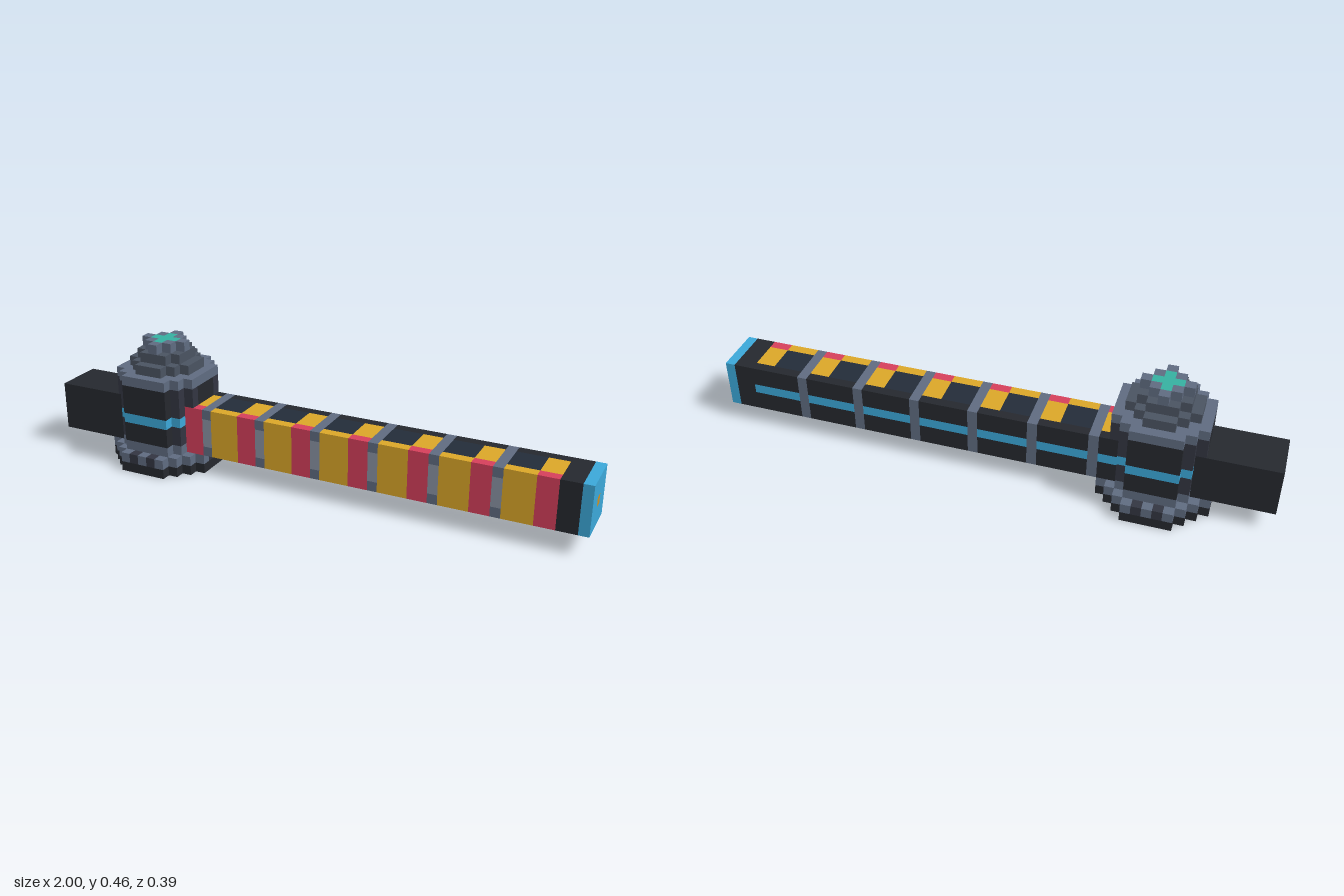
import * as THREE from 'three';
import { mergeGeometries } from 'three/addons/utils/BufferGeometryUtils.js';

const V = 1 / 28;          // one block
const POST_X = -16.5;      // post axis, in blocks
const C = {
  black: 0x25282e, plum: 0x323541, slate: 0x5f6b80, stone: 0x4a5361, pale: 0x8a93a3,
  blue: 0x3ba7d8, red: 0xd53f5b, yellow: 0xdaa628, navy: 0x232c39, teal: 0x35b0a0, orange: 0xd08f1f,
};
const mats = {};
for (const k in C) mats[k] = new THREE.MeshStandardMaterial({ color: C[k], flatShading: true });

// Box given by its corner limits in blocks
function block(x0, x1, y0, y1, z0, z1) {
  const g = new THREE.BoxGeometry((x1 - x0) * V, (y1 - y0) * V, (z1 - z0) * V);
  return g.translate((x0 + x1) / 2 * V, (y0 + y1) / 2 * V, (z0 + z1) / 2 * V);
}

// Collects boxes by colour and turns them into one mesh per colour
function part(name, build) {
  const bins = {};
  build((color, ...b) => (bins[color] ??= []).push(block(...b)));
  const group = new THREE.Group();
  group.name = name;
  for (const color in bins) {
    const mesh = new THREE.Mesh(mergeGeometries(bins[color]), mats[color]);
    mesh.name = `${name} ${color}`;
    group.add(mesh);
  }
  return group;
}

// Round layer of blocks; cells taken by the arm are left out
function disc(add, y0, y1, radius, pick) {
  const n = Math.floor(radius);
  for (let i = -n; i <= n; i++) for (let k = -n; k <= n; k++) {
    if (i * i + k * k > radius * radius) continue;
    if (y0 >= 2 && y1 <= 7 && Math.abs(i) === 4 && Math.abs(k) <= 2) continue;
    const x = POST_X + i;
    add(pick(Math.abs(i), Math.abs(k)), x - 0.5, x + 0.5, y0, y1, k - 0.5, k + 0.5);
  }
}

export function createModel() {
  const model = new THREE.Group();
  model.name = 'barrier';

  // Stepped foot of the post
  model.add(part('foot', add => {
    disc(add, 0, 1, 5.5, () => 'black');
    disc(add, 1, 2, 5.5, (i, k) => (i === 5 && k === 1) || (k === 5 && i === 1) ? 'plum' : 'slate');
    disc(add, 2, 3, 4.5, () => 'slate');
  }));

  // Post body with a light band
  const body = (i, k) => (k === 2 && i > 2) || (i === 3 && k === 3) ? 'plum' : 'black';
  model.add(part('post', add => {
    disc(add, 3, 5, 4.5, body);
    disc(add, 5, 6, 4.5, () => 'blue');
    disc(add, 6, 7, 4.5, body);
    disc(add, 7, 9, 4.5, body);
    disc(add, 9, 10, 4.5, () => 'slate');
  }));

  // Domed cap with a cross-shaped lamp
  model.add(part('cap', add => {
    disc(add, 10, 11, 3.5, () => 'stone');
    disc(add, 11, 12, 2.5, () => 'stone');
    disc(add, 12, 13, 2, (i, k) => i + k <= 1 ? 'teal' : 'slate');
  }));

  // Short counterweight behind the post
  model.add(part('counterweight', add => add('black', -28, -20, 2, 7, -2.5, 2.5)));

  // One striped length of arm: front strip, top strip, back with light line
  const stripe = (add, x0, x1, front, top) => {
    add(front, x0, x1, 2, 7, 1.5, 2.5);
    add(top, x0, x1, 6, 7, -1.5, 1.5);
    add('black', x0, x1, 2, 6, -1.5, 1.5);
    add('black', x0, x1, 5, 7, -2.5, -1.5);
    add('blue', x0, x1, 4, 5, -2.5, -1.5);
    add('black', x0, x1, 2, 4, -2.5, -1.5);
  };
  model.add(part('arm', add => {
    for (let x = -13; x <= 23; x += 6) {
      stripe(add, x, x + 2, 'red', 'yellow');
      if (x === 23) break;
      // ring with pale inlay on the front
      add('slate', x + 2, x + 3, 2, 7, -2.5, 1.5);
      add('slate', x + 2, x + 3, 2, 3, 1.5, 2.5);
      add('pale', x + 2, x + 3, 3, 6, 1.5, 2.5);
      add('slate', x + 2, x + 3, 6, 7, 1.5, 2.5);
      stripe(add, x + 3, x + 6, 'yellow', 'navy');
    }
    add('black', 25, 27, 2, 7, -2.5, 2.5);
  }));

  // Blue end plate around a small marker light
  model.add(part('endPlate', add => {
    add('blue', 27, 28, 5, 7, -2.5, 2.5);
    add('blue', 27, 28, 2, 4, -2.5, 2.5);
    add('blue', 27, 28, 4, 5, -2.5, -0.5);
    add('blue', 27, 28, 4, 5, 0.5, 2.5);
    add('orange', 27, 28, 4, 5, -0.5, 0.5);
  }));

  return model;
}
